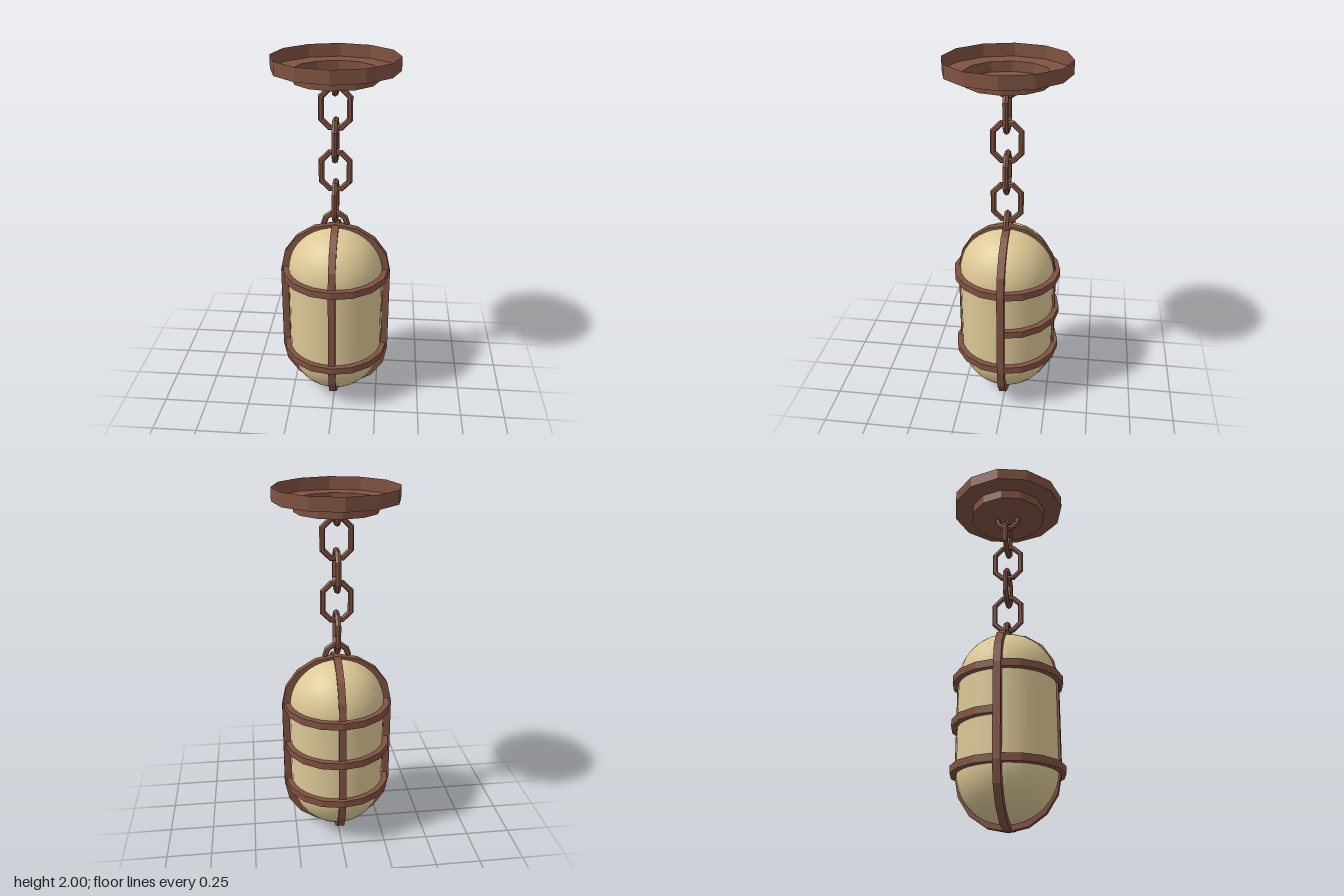
import * as THREE from 'three';

export function createModel() {
  const model = new THREE.Group();
  model.name = 'hangingCageLamp';

  const iron = new THREE.MeshStandardMaterial({ color: 0x7f5241, flatShading: true, side: THREE.DoubleSide });
  iron.name = 'rusty iron';
  const glass = new THREE.MeshStandardMaterial({ color: 0xdcc896 });
  glass.name = 'warm glass';

  function add(name, geometry, material = iron, y = 0) {
    const mesh = new THREE.Mesh(geometry, material);
    mesh.name = name;
    mesh.position.y = y;
    model.add(mesh);
    return mesh;
  }
  const points = (list) => list.map(([x, y]) => new THREE.Vector2(x, y));

  // Stepped ceiling plate, open at the top
  add('ceilingPlate', new THREE.LatheGeometry(
    points([[0, 1.876], [0.222, 1.876], [0.222, 1.93], [0.33, 1.93], [0.33, 2]]), 12));

  // Eight-sided chain links, stretched upwards and turned alternately
  function linkGeometry() {
    const g = new THREE.TorusGeometry(0.081, 0.0165, 6, 8).rotateZ(Math.PI / 8);
    const p = g.attributes.position;
    for (let i = 0; i < p.count; i++) p.setY(i, p.getY(i) + Math.sign(p.getY(i)) * 0.027);
    return g;
  }
  [1.735, 1.565, 1.395, 1.222].forEach((y, i) => {
    add('chainLink', linkGeometry(), iron, y).rotation.y = (i % 2) * Math.PI / 2;
  });

  // Half loops that tie the chain to the plate and to the cage
  const halfLoop = () => new THREE.TorusGeometry(0.064, 0.017, 6, 5, Math.PI);
  add('plateLoop', halfLoop().rotateZ(Math.PI).rotateY(Math.PI / 2), iron, 1.877);
  add('cageLoop', halfLoop(), iron, 1.087);

  // Glass capsule
  add('glassBulb', new THREE.CapsuleGeometry(0.268, 0.5, 10, 32), glass, 0.55);

  // Cage ribs: flat bars bent around the capsule
  function ribOutline(width, height) {
    const list = [];
    for (let i = 0; i <= 8; i++) {
      const a = i * Math.PI / 8;
      list.push([width * Math.cos(a), 0.797 + height * Math.sin(a)]);
    }
    for (let i = 8; i <= 16; i++) {
      const a = i * Math.PI / 8;
      list.push([width * Math.cos(a), 0.29 + height * Math.sin(a)]);
    }
    return points(list);
  }
  function ribGeometry(width) {
    const shape = new THREE.Shape(ribOutline(width, 0.29));
    shape.holes.push(new THREE.Path(ribOutline(width - 0.04, 0.25)));
    return new THREE.ExtrudeGeometry(shape, { depth: 0.04, bevelEnabled: false }).translate(0, 0, -0.02);
  }
  add('sideRibs', ribGeometry(0.31));
  add('frontBackRibs', ribGeometry(0.278).rotateY(Math.PI / 2));

  // Cage rings: two full hoops and a half hoop at the back
  function hoop(name, y, segments, start, length) {
    const section = points([[0.268, -0.02], [0.302, -0.02], [0.302, 0.02], [0.268, 0.02], [0.268, -0.02]]);
    add(name, new THREE.LatheGeometry(section, segments, start, length), iron, y);
  }
  hoop('upperRing', 0.795, 16, 0, Math.PI * 2);
  hoop('lowerRing', 0.303, 16, 0, Math.PI * 2);
  hoop('backHalfRing', 0.55, 8, Math.PI / 2, Math.PI);

  return model;
}
